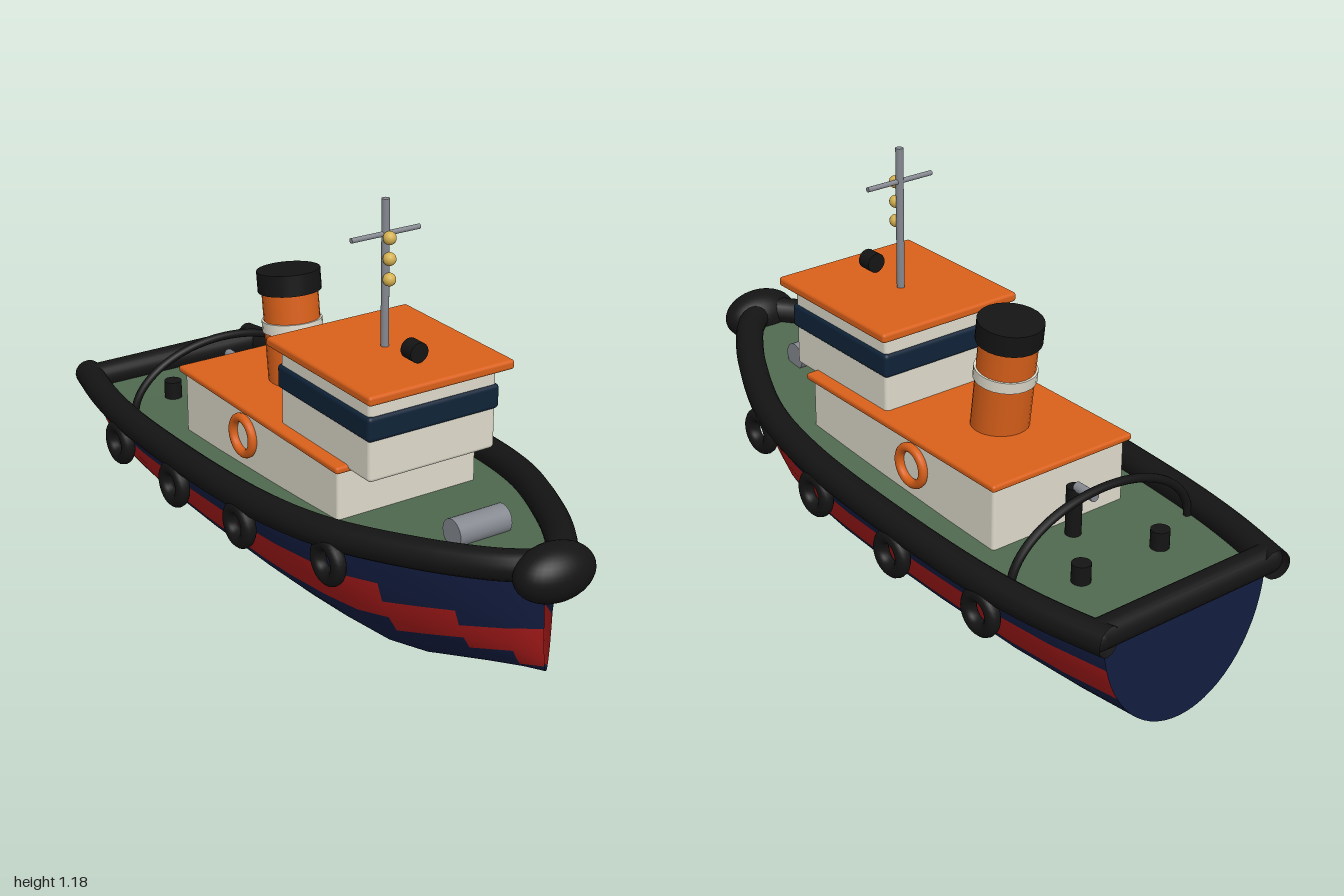
import * as THREE from 'three';
import { RoundedBoxGeometry } from 'three/addons/geometries/RoundedBoxGeometry.js';

const mat = (color, side = THREE.FrontSide) => new THREE.MeshStandardMaterial({ color, side });
const navy = mat(0x121c3f, THREE.DoubleSide), red = mat(0xa81a1a, THREE.DoubleSide);
const green = mat(0x50694f, THREE.DoubleSide), black = mat(0x141414, THREE.DoubleSide);
const orange = mat(0xd9601a), white = mat(0xdedacb), glass = mat(0x0f2338);
const grey = mat(0x84888f), brass = mat(0xd4b050);

// Hull stations from stern to bow: z, half width at the rail, keel height
const STATIONS = [
  [-0.97, 0.29, 0], [-0.8, 0.327, 0], [-0.6, 0.352, 0], [-0.3, 0.363, 0], [0, 0.363, 0],
  [0.15, 0.355, 0], [0.3, 0.335, 0], [0.42, 0.306, 0], [0.52, 0.268, 0.02], [0.62, 0.222, 0.055],
  [0.72, 0.17, 0.09], [0.84, 0.09, 0.13], [0.91, 0.015, 0.15],
];
const sheer = (z) => 0.35 + 0.1 * ((z + 0.97) / 1.87) ** 2;
const HULL = 0.945; // hull skin sits slightly inside the rail

function halfWidth(z) {
  const i = Math.max(1, STATIONS.findIndex((s) => s[0] >= z));
  const [a, b] = [STATIONS[i - 1], STATIONS[i]];
  return a[1] + ((b[1] - a[1]) * (z - a[0])) / (b[0] - a[0]);
}

// Lofts equal-length sections; keep(cell centre height) picks the cells
function loft(sections, keep = () => true) {
  const n = sections[0].length, index = [], all = [];
  const geo = new THREE.BufferGeometry().setFromPoints(sections.flat());
  for (let i = 0; i < sections.length - 1; i++) {
    for (let j = 0; j < n - 1; j++) {
      const a = i * n + j, b = a + n;
      const cell = [a, b, a + 1, b, b + 1, a + 1];
      const y = (sections[i][j].y + sections[i][j + 1].y + sections[i + 1][j].y + sections[i + 1][j + 1].y) / 4;
      all.push(...cell);
      if (keep(y)) index.push(...cell);
    }
  }
  geo.setIndex(all);
  geo.computeVertexNormals();
  geo.setIndex(index);
  return geo;
}

export function createModel() {
  const model = new THREE.Group();
  const add = (name, geo, material, x = 0, y = 0, z = 0, parent = model) => {
    const mesh = new THREE.Mesh(geo, material);
    mesh.name = name;
    mesh.position.set(x, y, z);
    parent.add(mesh);
    return mesh;
  };
  const box = (w, h, d, r = 0.01) => new RoundedBoxGeometry(w, h, d, 3, r);
  const rod = (r, len, axis = 'y') => {
    const g = new THREE.CylinderGeometry(r, r, len, 24);
    if (axis === 'x') g.rotateZ(Math.PI / 2);
    if (axis === 'z') g.rotateX(Math.PI / 2);
    return g;
  };

  // Hull with a stepped red band
  const sections = STATIONS.map(([z, half, keel]) =>
    Array.from({ length: 21 }, (_, j) => {
      const t = (j / 20) * Math.PI;
      return new THREE.Vector3(half * HULL * Math.cos(t), sheer(z) - (sheer(z) - keel) * Math.sin(t), z);
    }));
  const inBand = (y) => y > 0.16 && y < 0.262;
  add('hull', loft(sections, (y) => !inBand(y)), navy);
  add('hullBand', loft(sections, inBand), red);
  const transom = new THREE.CircleGeometry(1, 32, Math.PI, Math.PI);
  transom.scale(STATIONS[0][1] * HULL, sheer(-0.97), 1).rotateY(Math.PI);
  add('transom', transom, navy, 0, sheer(-0.97), -0.97);

  // Deck
  add('deck', loft(STATIONS.map(([z, half]) =>
    [-1, 1].map((s) => new THREE.Vector3(s * half * HULL, sheer(z) - 0.02, z)))), green);

  // Rubber rail around the deck, and the bow fender
  for (const s of [-1, 1]) {
    const pts = STATIONS.map(([z, half]) => new THREE.Vector3(s * half, sheer(z), z));
    pts.unshift(new THREE.Vector3(s * 0.283, 0.35, -1));
    add('sideRail', new THREE.TubeGeometry(new THREE.CatmullRomCurve3(pts), 96, 0.041, 16), black);
    add('railCorner', new THREE.SphereGeometry(0.04, 16, 12), black, s * 0.29, 0.35, -0.96);
  }
  add('sternRail', rod(0.04, 0.58, 'x'), black, 0, 0.35, -0.96);
  add('bowFender', new THREE.SphereGeometry(1, 32, 20), black, 0, 0.436, 0.925).scale.set(0.116, 0.075, 0.075);

  // Tyre fenders and lifebuoys on both sides
  const tyre = new THREE.TorusGeometry(0.048, 0.021, 12, 32).rotateY(Math.PI / 2);
  const buoy = new THREE.TorusGeometry(0.052, 0.013, 12, 36).rotateY(Math.PI / 2);
  for (const s of [-1, 1]) {
    for (const [z, y] of [[0.425, 0.34], [0.075, 0.312], [-0.275, 0.29], [-0.625, 0.282]]) {
      add('tyreFender', tyre, black, s * (halfWidth(z) + 0.024), y, z);
    }
    add('lifebuoy', buoy, orange, s * 0.232, 0.445, -0.155);
  }

  // Deckhouse
  add('deckhouse', box(0.446, 0.2, 0.8), white, 0, 0.42, -0.09);
  add('deckhouseRoof', box(0.474, 0.02, 0.83, 0.008), orange, 0, 0.525, -0.09);

  // Wheelhouse with window band
  add('wheelhouse', box(0.4, 0.245, 0.425, 0.012), white, 0, 0.642, 0.208);
  add('windowBand', box(0.414, 0.07, 0.44, 0.012), glass, 0, 0.67, 0.208);
  add('wheelhouseRoof', box(0.456, 0.027, 0.494, 0.009), orange, 0, 0.766, 0.214);

  // Raked funnel
  const funnel = new THREE.Group();
  funnel.name = 'funnel';
  funnel.position.set(0, 0.52, -0.24);
  funnel.rotation.x = -0.125;
  model.add(funnel);
  add('funnelBody', rod(0.08, 0.3), orange, 0, 0.14, 0, funnel);
  add('funnelBand', rod(0.086, 0.032), white, 0, 0.175, 0, funnel);
  add('funnelCap', rod(0.09, 0.06), black, 0, 0.303, 0, funnel);

  // Mast, yard and lamps
  add('mast', rod(0.011, 0.41), grey, 0, 0.98, 0.195);
  add('yard', rod(0.007, 0.214, 'x'), grey, 0, 1.09, 0.195);
  for (const y of [0.97, 1.026, 1.083]) {
    add('mastLamp', new THREE.SphereGeometry(0.018, 16, 12), brass, 0, y, 0.214);
  }
  add('searchlight', rod(0.028, 0.045, 'z'), black, 0, 0.812, 0.33);

  // Deck gear: windlass, tow post and hook, bollards, tow arch
  add('windlass', rod(0.039, 0.162, 'x'), grey, 0, 0.43, 0.616);
  add('towPost', rod(0.022, 0.15), black, 0, 0.4, -0.546);
  add('towHook', rod(0.014, 0.07, 'z'), grey, 0, 0.478, -0.59);
  for (const s of [-1, 1]) add('bollard', rod(0.026, 0.07), black, s * 0.135, 0.35, -0.73);
  const arch = new THREE.CatmullRomCurve3(Array.from({ length: 17 }, (_, i) => {
    const t = (i / 16) * Math.PI;
    return new THREE.Vector3(0.305 * Math.cos(t), 0.335 + 0.187 * Math.sin(t), -0.657);
  }));
  add('towArch', new THREE.TubeGeometry(arch, 48, 0.012, 10), black);

  return model;
}
